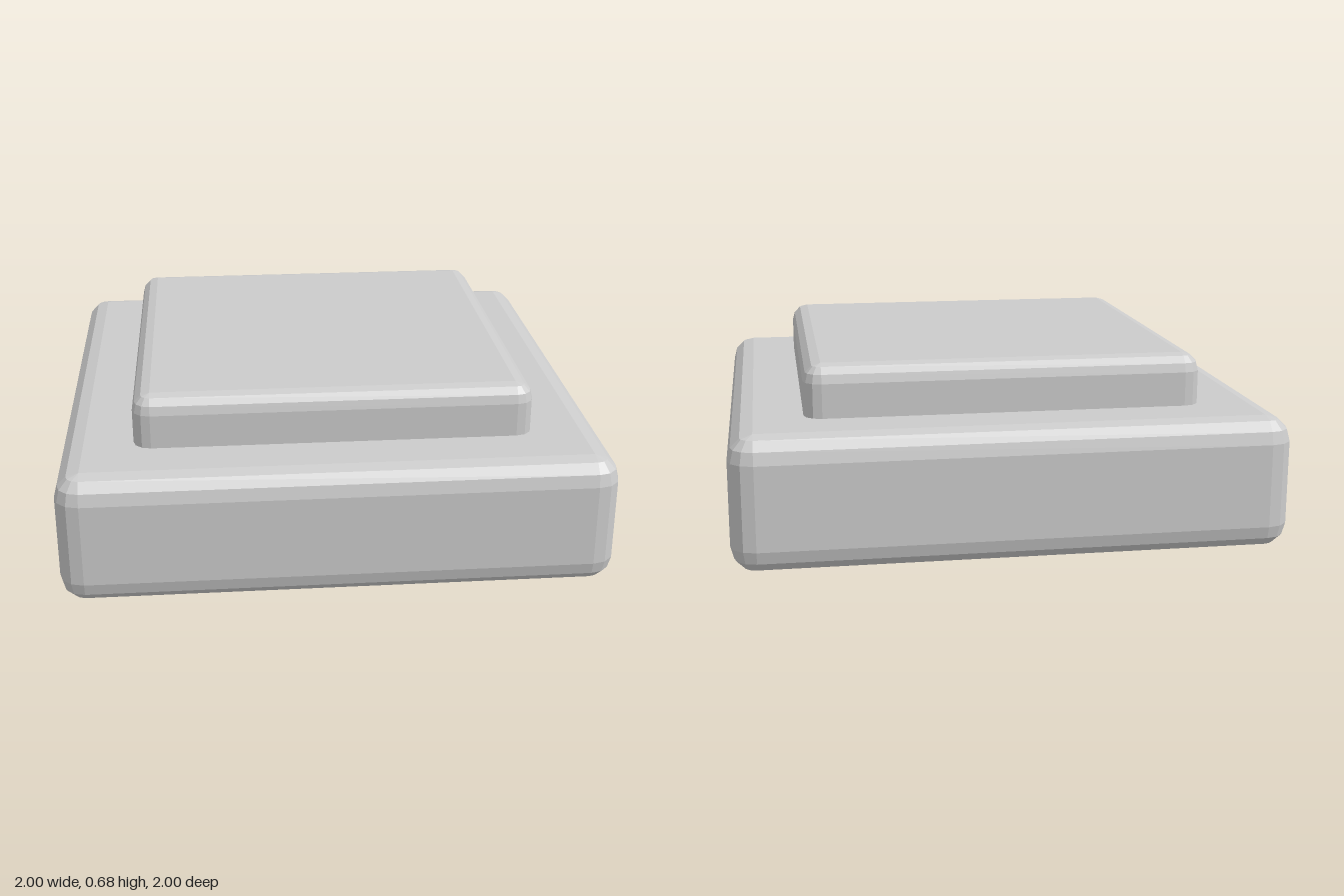
import * as THREE from 'three';

const STEPS = 3; // facets across each rounded edge

// Box with rounded edges, built from stacked rounded-square rings.
function roundedSlab(width, height, radius) {
  const half = width / 2 - radius;
  const quarter = Math.PI / 2;

  const ring = (y, r) => {
    const points = [];
    for (let corner = 0; corner < 4; corner++) {
      const mid = (corner + 0.5) * quarter;
      const cx = Math.sign(Math.cos(mid)) * half;
      const cz = Math.sign(Math.sin(mid)) * half;
      for (let s = 0; s <= STEPS; s++) {
        const a = (corner + s / STEPS) * quarter;
        points.push(new THREE.Vector3(cx + r * Math.cos(a), y, cz + r * Math.sin(a)));
      }
    }
    return points;
  };

  // Lower rounding, straight wall, upper rounding
  const rings = [];
  for (const side of [-1, 1]) {
    for (let s = 0; s <= STEPS; s++) {
      const a = (side < 0 ? s / STEPS - 1 : s / STEPS) * quarter;
      const y = side * (height / 2 - radius) + radius * Math.sin(a);
      rings.push(ring(y, radius * Math.cos(a)));
    }
  }

  const positions = [];
  const triangle = (a, b, c) => {
    const collapsed = [[a, b], [b, c], [c, a]].some(([p, q]) => p.distanceTo(q) < 1e-6);
    if (!collapsed) for (const p of [a, b, c]) positions.push(p.x, p.y, p.z);
  };

  const n = rings[0].length;
  for (let i = 0; i < rings.length - 1; i++) {
    for (let j = 0; j < n; j++) {
      const k = (j + 1) % n;
      triangle(rings[i][j], rings[i + 1][j], rings[i + 1][k]);
      triangle(rings[i][j], rings[i + 1][k], rings[i][k]);
    }
  }

  // Flat top and bottom
  const bottom = rings[0];
  const top = rings[rings.length - 1];
  for (let j = 1; j < n - 1; j++) {
    triangle(top[0], top[j + 1], top[j]);
    triangle(bottom[0], bottom[j], bottom[j + 1]);
  }

  const geometry = new THREE.BufferGeometry();
  geometry.setAttribute('position', new THREE.Float32BufferAttribute(positions, 3));
  geometry.computeVertexNormals();
  return geometry;
}

export function createModel() {
  const model = new THREE.Group();
  model.name = 'steppedButton';
  const material = new THREE.MeshStandardMaterial({ color: 0xcccccc, flatShading: true });

  const addSlab = (name, width, height, radius, topY) => {
    const mesh = new THREE.Mesh(roundedSlab(width, height, radius), material);
    mesh.name = name;
    mesh.position.y = topY - height / 2;
    model.add(mesh);
  };

  // Wide base, and a smaller cap sunk partway into it
  addSlab('base', 2, 0.485, 0.09, 0.485);
  addSlab('cap', 1.46, 0.35, 0.065, 0.675);

  return model;
}
